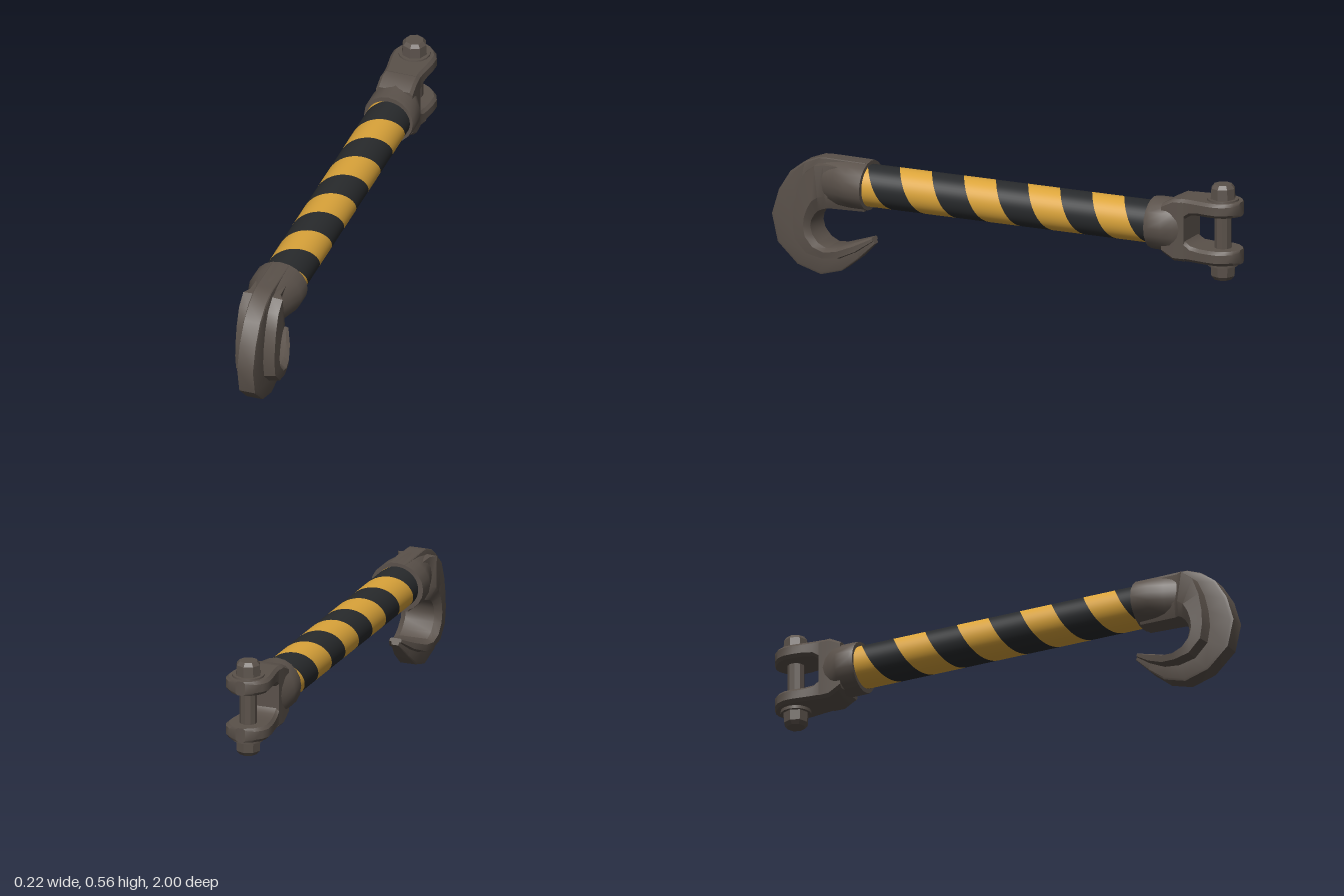
import * as THREE from 'three';
import { toCreasedNormals } from 'three/addons/utils/BufferGeometryUtils.js';

const AXIS_Y = 0.373;
const PITCH = 0.275;
const V = (x, y, z) => new THREE.Vector3(x, y, z);

// Closed skin over a list of rings with equal point counts, capped at both ends
function loft(rings, crease = 0.6) {
  const n = rings[0].length;
  const tris = [];
  const centre = (ring) => ring.reduce((s, p) => s.add(p), V(0, 0, 0)).divideScalar(n);
  const first = centre(rings[0]);
  const last = centre(rings[rings.length - 1]);
  for (let j = 0; j < n; j++) {
    const k = (j + 1) % n;
    for (let i = 0; i < rings.length - 1; i++) {
      const a = rings[i], b = rings[i + 1];
      tris.push([a[j], a[k], b[k]], [a[j], b[k], b[j]]);
    }
    const end = rings[rings.length - 1];
    tris.push([first, rings[0][k], rings[0][j]], [last, end[j], end[k]]);
  }
  // Signed volume tells whether the corners need reversing
  let volume = 0;
  const cross = V(0, 0, 0);
  for (const [a, b, c] of tris) volume += a.dot(cross.crossVectors(b, c));
  const points = tris.flatMap((t) => (volume < 0 ? [t[0], t[2], t[1]] : t));
  const geometry = new THREE.BufferGeometry().setFromPoints(points);
  geometry.computeVertexNormals();
  return toCreasedNormals(geometry, crease);
}

// Ellipse across the rod axis
function ellipse(z, rx, ry, n = 20) {
  return Array.from({ length: n }, (_, i) => {
    const a = (i / n) * Math.PI * 2;
    return V(rx * Math.cos(a), AXIS_Y + ry * Math.sin(a), z);
  });
}

// Rectangle with clipped corners across the rod axis
function plate(z, w, y0, y1) {
  const c = Math.min(0.012, w * 0.4);
  return [
    V(-w + c, y0, z), V(w - c, y0, z), V(w, y0 + c, z), V(w, y1 - c, z),
    V(w - c, y1, z), V(-w + c, y1, z), V(-w, y1 - c, z), V(-w, y0 + c, z),
  ];
}

// Helical band on the rod, spaced once per pitch
function spiral(offset, zMin, zMax) {
  const pos = [], nor = [];
  const segs = 48, rx = 0.088, ry = 0.083;
  const clamp = (z) => Math.min(zMax, Math.max(zMin, z));
  const vertex = (a, z) => {
    pos.push(rx * Math.sin(a), AXIS_Y + ry * Math.cos(a), clamp(z));
    nor.push(Math.sin(a), Math.cos(a), 0);
  };
  for (let k = -4; k <= 5; k++) {
    for (let i = 0; i < segs; i++) {
      const a0 = (i / segs) * Math.PI * 2, a1 = ((i + 1) / segs) * Math.PI * 2;
      const z0 = offset + PITCH * (k - i / segs), z1 = z0 - PITCH / segs;
      const h = PITCH / 4;
      if (z1 - h > zMax || z0 + h < zMin) continue;
      vertex(a0, z0 - h); vertex(a0, z0 + h); vertex(a1, z1 + h);
      vertex(a0, z0 - h); vertex(a1, z1 + h); vertex(a1, z1 - h);
    }
  }
  const g = new THREE.BufferGeometry();
  g.setAttribute('position', new THREE.Float32BufferAttribute(pos, 3));
  g.setAttribute('normal', new THREE.Float32BufferAttribute(nor, 3));
  return g;
}

// Hook section: narrow outer rib stepping out to a broad inner wall
function hookRing([oz, oy, iz, iy, step, rib, wide]) {
  const half = [[0, rib * 0.9], [step * 0.12, rib], [step * 0.88, rib * 1.08],
    [step, wide * 0.95], [step + (1 - step) * 0.7, wide], [1, wide * 0.7]];
  const at = (t, x) => V(x, oy + (iy - oy) * t, oz + (iz - oz) * t);
  return [...half.map(([t, w]) => at(t, w)), ...half.reverse().map(([t, w]) => at(t, -w))];
}

export function createModel() {
  const steel = new THREE.MeshStandardMaterial({ color: 0x5a514a });
  const yellow = new THREE.MeshStandardMaterial({ color: 0xdba43a });
  const black = new THREE.MeshStandardMaterial({ color: 0x282a2c });
  steel.name = 'dark steel';
  yellow.name = 'warning yellow';
  black.name = 'warning black';

  const model = new THREE.Group();
  model.name = 'towHookBar';
  const add = (parent, name, geometry, material) => {
    const mesh = new THREE.Mesh(geometry, material);
    mesh.name = name;
    parent.add(mesh);
    return mesh;
  };
  const group = (name) => {
    const g = new THREE.Group();
    g.name = name;
    model.add(g);
    return g;
  };

  // Striped rod
  const rod = group('rod');
  add(rod, 'blackStripes', spiral(0.26, -0.65, 0.62), black);
  add(rod, 'yellowStripes', spiral(0.26 + PITCH / 2, -0.65, 0.62), yellow);

  // Hook with its socket
  const hook = group('hook');
  add(hook, 'hookSocket', loft([
    ellipse(0.59, 0.109, 0.098), ellipse(0.66, 0.109, 0.098),
    ellipse(0.72, 0.085, 0.098), ellipse(0.8, 0.062, 0.09),
  ]), steel);
  // outer z, outer y, inner z, inner y, step, rib half width, wall half width
  add(hook, 'hookCurve', loft([
    [0.60, 0.468, 0.60, 0.275, 0.12, 0.036, 0.06],
    [0.77, 0.47, 0.755, 0.272, 0.12, 0.036, 0.066],
    [0.80, 0.468, 0.775, 0.268, 0.12, 0.036, 0.085],
    [0.86, 0.445, 0.79, 0.26, 0.22, 0.036, 0.085],
    [0.92, 0.40, 0.805, 0.245, 0.42, 0.036, 0.085],
    [0.97, 0.32, 0.818, 0.222, 0.56, 0.036, 0.085],
    [1.0, 0.22, 0.823, 0.197, 0.63, 0.036, 0.085],
    [0.975, 0.11, 0.815, 0.165, 0.6, 0.036, 0.085],
    [0.89, 0.03, 0.79, 0.133, 0.6, 0.036, 0.086],
    [0.79, 0.0, 0.755, 0.115, 0.68, 0.036, 0.083],
    [0.70, 0.025, 0.71, 0.12, 0.6, 0.036, 0.075],
    [0.63, 0.08, 0.645, 0.143, 0.5, 0.03, 0.055],
    [0.567, 0.143, 0.578, 0.168, 0.5, 0.015, 0.025],
  ].map(hookRing), 0.55), steel);

  // Clevis: socket, block and two rounded arms
  const clevis = group('clevis');
  add(clevis, 'clevisSocket', loft([
    ellipse(-0.625, 0.1, 0.102), ellipse(-0.64, 0.105, 0.104), ellipse(-0.7, 0.105, 0.104),
    ellipse(-0.74, 0.085, 0.115), ellipse(-0.77, 0.072, 0.105),
  ]), steel);
  add(clevis, 'clevisBlock', loft([
    plate(-0.69, 0.075, 0.275, 0.47), plate(-0.74, 0.075, 0.247, 0.495),
    plate(-0.785, 0.073, 0.247, 0.495),
  ]), steel);
  // z, half width, inner edge of the arm above the axis
  const armStations = [[-0.77, 0.073, 0.02], [-0.785, 0.073, 0.045], [-0.81, 0.075, 0.062],
    [-0.85, 0.081, 0.067], [-0.89, 0.087, 0.067], [-0.93, 0.088, 0.067],
    [-0.96, 0.076, 0.067], [-0.985, 0.052, 0.067], [-1.0, 0.02, 0.067]];
  for (const side of [1, -1]) {
    const rings = armStations.map(([z, w, inner]) => {
      const a = AXIS_Y + side * inner, b = AXIS_Y + side * 0.124;
      return plate(z, w, Math.min(a, b), Math.max(a, b));
    });
    add(clevis, side > 0 ? 'upperArm' : 'lowerArm', loft(rings), steel);
  }

  // Cross pin with washers, head and nut
  const pin = group('pin');
  const disc = (name, rTop, rBottom, y0, y1, sides) => {
    const g = new THREE.CylinderGeometry(rTop, rBottom, y1 - y0, sides);
    add(pin, name, toCreasedNormals(g, 0.6), steel).position.set(0, (y0 + y1) / 2, -0.92);
  };
  disc('pinShaft', 0.034, 0.034, 0.2, 0.53, 10);
  disc('upperWasher', 0.062, 0.064, 0.49, 0.503, 16);
  disc('pinHead', 0.048, 0.051, 0.5, 0.545, 8);
  disc('pinHeadTop', 0.036, 0.048, 0.545, 0.56, 8);
  disc('lowerWasher', 0.06, 0.06, 0.236, 0.25, 16);
  disc('pinNut', 0.051, 0.048, 0.195, 0.238, 8);
  disc('pinNutEnd', 0.048, 0.036, 0.18, 0.195, 8);

  return model;
}
